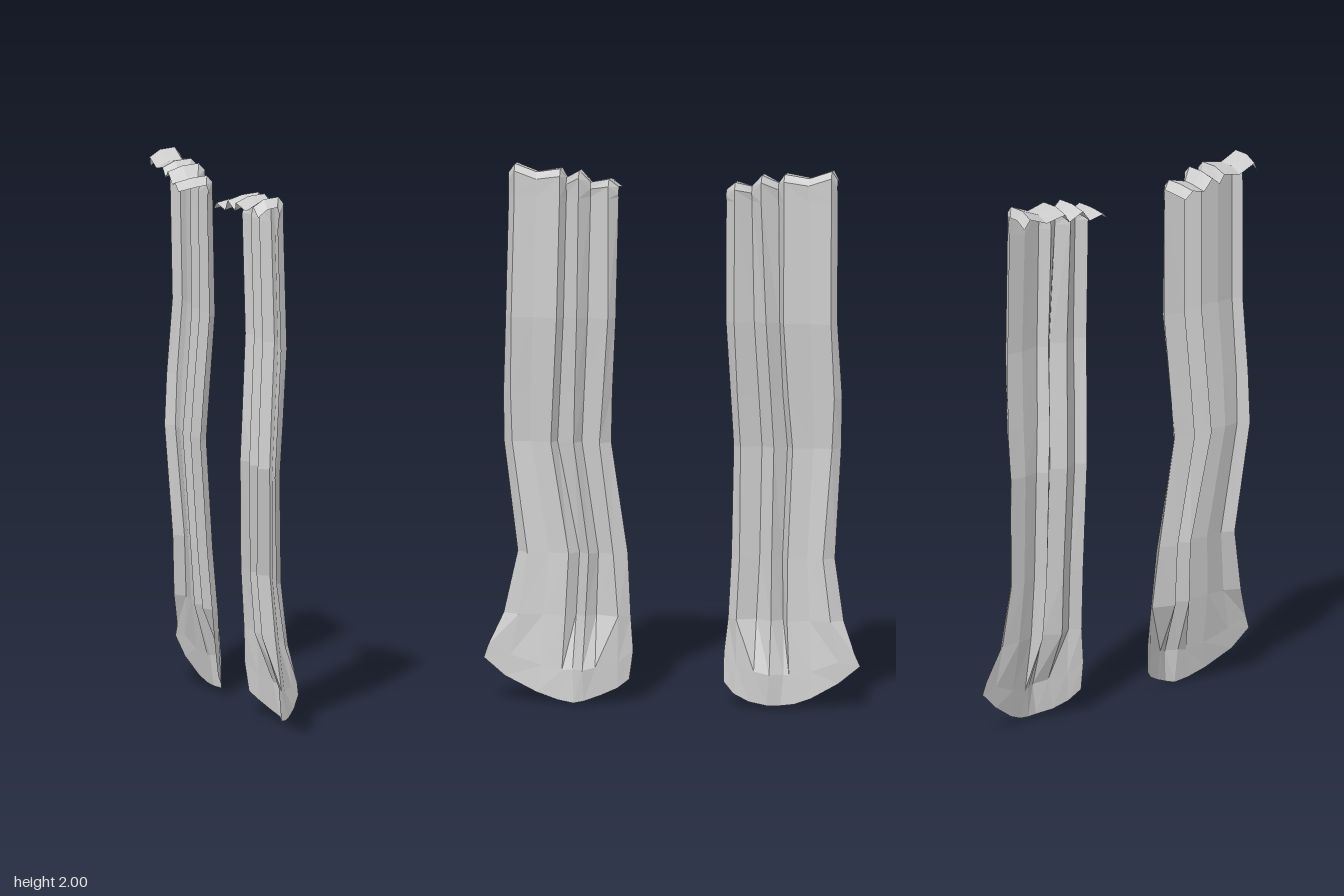
import * as THREE from 'three';

// Columns run from the outer edge to the inner edge of a cloth panel.
// Pleat depth of each column, and the height where it crosses the rail.
const pleat = [-0.02, 0.012, 0.005, 0.022, -0.018, 0.022, -0.02, 0.016, -0.018];
const crest = [1.965, 2.0, 1.97, 1.985, 1.95, 1.98, 1.935, 1.95, 1.92];
const hemX = [0.05, 0.058, 0.07, 0.085, 0.088, 0.115, 0.095, 0.065, 0.03];
const edgeX = [0.05, 0.06, 0.08, 0.092, 0.1, 0.108, 0.09, 0.068, 0.042];
const hemY = [0.2, 0.17, 0.135, 0.12, 0.125, 0.125, 0.135, 0.15, 0.19];

// Hanging rows: height and mean depth of the cloth
const rows = [[1.88, 0.018], [1.43, 0.027], [1.15, 0.01], [0.96, 0.0], [0.55, 0.025], [0.32, 0.042]];

// Distance of every column from the centre, one line per hanging row, then hem and bottom edge
const frontZ = [
  [0.615, 0.59, 0.51, 0.42, 0.40, 0.35, 0.31, 0.24, 0.205],
  [0.625, 0.60, 0.52, 0.43, 0.41, 0.355, 0.32, 0.24, 0.215],
  [0.635, 0.605, 0.53, 0.445, 0.425, 0.365, 0.335, 0.26, 0.23],
  [0.635, 0.60, 0.53, 0.455, 0.435, 0.37, 0.345, 0.275, 0.235],
  [0.58, 0.54, 0.46, 0.385, 0.35, 0.31, 0.28, 0.22, 0.17],
  [0.63, 0.57, 0.48, 0.395, 0.36, 0.32, 0.285, 0.20, 0.157],
  [0.685, 0.60, 0.48, 0.405, 0.365, 0.325, 0.28, 0.20, 0.147],
  [0.70, 0.62, 0.50, 0.42, 0.36, 0.32, 0.26, 0.20, 0.16],
];
const backZ = [
  [0.61, 0.59, 0.505, 0.415, 0.39, 0.33, 0.29, 0.23, 0.195],
  [0.61, 0.59, 0.51, 0.415, 0.395, 0.35, 0.30, 0.23, 0.195],
  [0.625, 0.60, 0.52, 0.43, 0.405, 0.365, 0.315, 0.24, 0.21],
  [0.62, 0.59, 0.52, 0.445, 0.42, 0.375, 0.325, 0.25, 0.22],
  [0.60, 0.56, 0.50, 0.43, 0.405, 0.37, 0.32, 0.25, 0.215],
  [0.635, 0.59, 0.51, 0.43, 0.41, 0.37, 0.31, 0.24, 0.205],
  [0.68, 0.62, 0.52, 0.44, 0.42, 0.37, 0.31, 0.24, 0.19],
  [0.70, 0.62, 0.52, 0.46, 0.41, 0.36, 0.29, 0.23, 0.19],
];
const frontEdgeY = [0.155, 0.09, 0.035, 0.01, 0.0, 0.01, 0.03, 0.055, 0.085];
const backEdgeY = [0.155, 0.09, 0.035, 0.015, 0.01, 0.01, 0.02, 0.045, 0.085];

// Joins a grid of cross-sections into a sheet
function sheet(grid, flip) {
  const cols = grid[0].length;
  const index = [];
  for (let r = 0; r < grid.length - 1; r++) {
    for (let c = 0; c < cols - 1; c++) {
      const a = r * cols + c, b = a + 1, d = a + cols, e = d + 1;
      if (flip) index.push(a, b, d, b, e, d);
      else index.push(a, d, b, b, d, e);
    }
  }
  const geo = new THREE.BufferGeometry();
  geo.setAttribute('position', new THREE.Float32BufferAttribute(grid.flat(2), 3));
  geo.setIndex(index);
  geo.computeVertexNormals();
  return geo;
}

function panel(name, side, zRows, edgeY, material) {
  const group = new THREE.Group();
  group.name = name;
  const section = (zs, x, y) => zs.map((z, c) => [x(c), y(c), side * z]);
  const top = zRows[0];

  // Flap folded back over the rail
  const crestRow = section(top, c => 0.005 + pleat[c] * 0.4, c => crest[c]);
  const shoulder = section(top, c => 0.02 + pleat[c] * 0.8, c => crest[c] - 0.025);
  const flap = [
    section(top, c => -0.082 - c * 0.004 - pleat[c] * 0.2, c => crest[c] - 0.035 + c * 0.002),
    section(top, c => -0.045 - pleat[c] * 0.2, c => crest[c] - 0.006),
    crestRow,
    shoulder,
  ];

  // Hanging pleats, flaring into the hem
  const drape = [
    shoulder,
    ...rows.map(([y, x], r) => section(zRows[r], c => x + pleat[c], () => y)),
    section(zRows[6], c => hemX[c], c => hemY[c]),
    section(zRows[7], c => edgeX[c], c => edgeY[c]),
  ];

  for (const [part, grid] of [['foldedFlap', flap], ['hangingCloth', drape]]) {
    const mesh = new THREE.Mesh(sheet(grid, side < 0), material);
    mesh.name = part;
    group.add(mesh);
  }
  return group;
}

export function createModel() {
  const model = new THREE.Group();
  model.name = 'curtainPair';
  const cloth = new THREE.MeshStandardMaterial({
    color: 0xcccccc, flatShading: true, side: THREE.DoubleSide,
  });
  model.add(
    panel('frontCurtain', 1, frontZ, frontEdgeY, cloth),
    panel('backCurtain', -1, backZ, backEdgeY, cloth),
  );
  return model;
}
